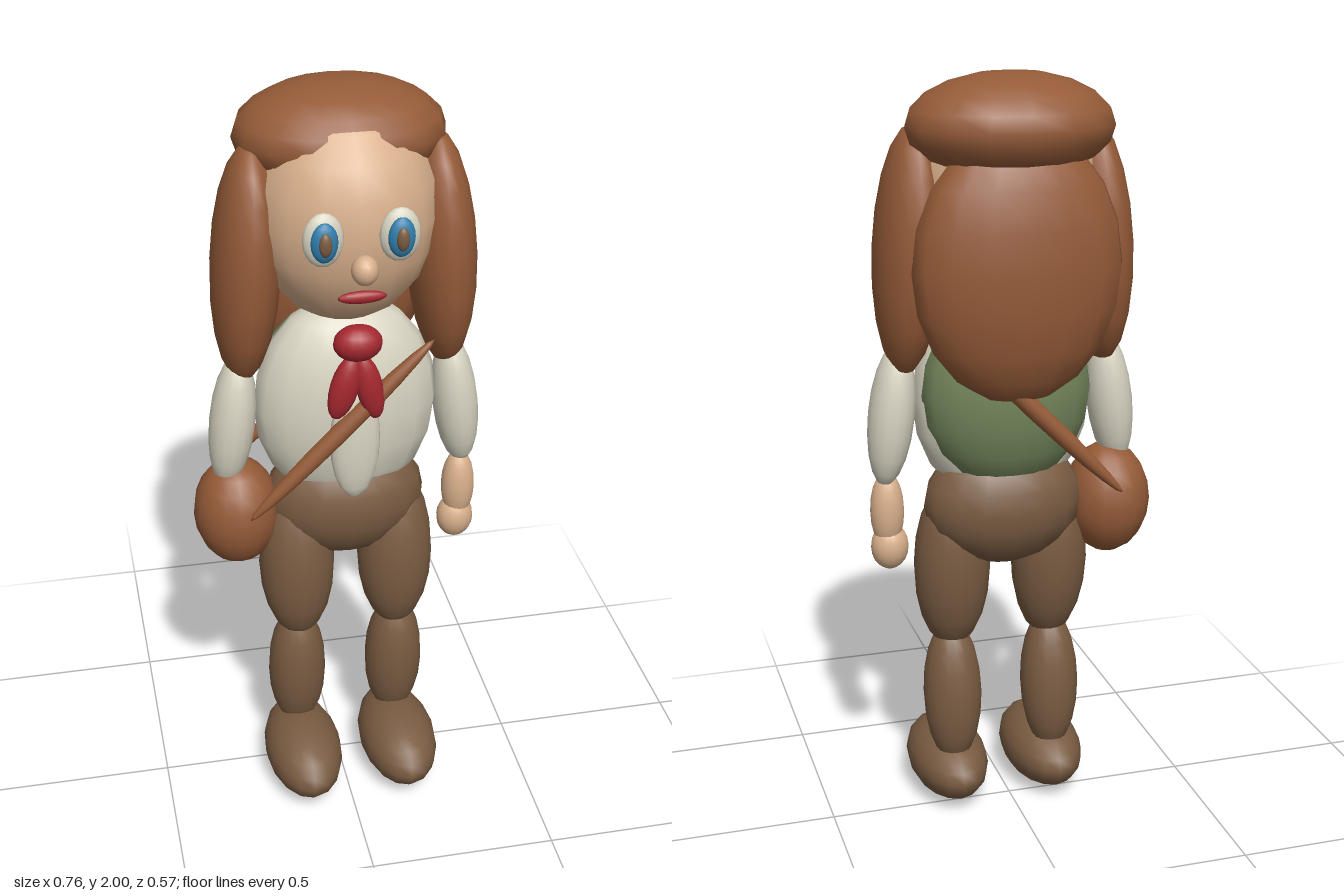
import * as THREE from 'three';

const mat = (name, color) => {
  const m = new THREE.MeshStandardMaterial({ color });
  m.name = name;
  return m;
};

export function createModel() {
  const hair = mat('chestnut', 0x955b38);
  const skin = mat('skin', 0xd9b08c);
  const linen = mat('linen', 0xd8d4c2);
  const cloth = mat('brown cloth', 0x7a5c42);
  const green = mat('moss green', 0x72855a);
  const red = mat('scarf red', 0xa5282f);
  const blue = mat('iris blue', 0x2f7fae);

  const CX = 0.02; // body midline
  const model = new THREE.Group();
  model.name = 'longHairedFigure';
  const ball = new THREE.SphereGeometry(1, 16, 10);

  // One smooth ellipsoid: centre, radii, optional rotation
  const blob = (name, material, pos, radii, rot = [0, 0, 0]) => {
    const mesh = new THREE.Mesh(ball, material);
    mesh.name = name;
    mesh.position.set(...pos);
    mesh.scale.set(...radii);
    mesh.rotation.set(...rot);
    model.add(mesh);
    return mesh;
  };

  // Mirrored pair about the midline; x is the distance from it
  const pair = (name, material, [x, y, z], radii, [rx, ry, rz] = [0, 0, 0]) => {
    for (const [side, s] of [['left', 1], ['right', -1]]) {
      blob(side + name, material, [CX + s * x, y, z], radii, [rx, s * ry, s * rz]);
    }
  };

  // Long thin ellipsoid between two points
  const spindle = (name, material, a, b, r) => {
    const p = new THREE.Vector3(...a), q = new THREE.Vector3(...b);
    const d = q.clone().sub(p);
    const mid = p.clone().add(q).multiplyScalar(0.5);
    const mesh = blob(name, material, mid.toArray(), [r, d.length() / 2, r]);
    mesh.quaternion.setFromUnitVectors(new THREE.Vector3(0, 1, 0), d.normalize());
  };

  // Legs and shoes
  blob('hips', cloth, [CX, 0.88, -0.01], [0.215, 0.17, 0.14]);
  pair('Thigh', cloth, [0.135, 0.7, 0.015], [0.103, 0.24, 0.1], [-0.06, 0, 0]);
  pair('Shin', cloth, [0.138, 0.33, 0.012], [0.08, 0.205, 0.08], [0.06, 0, 0]);
  pair('Shoe', cloth, [0.137, 0.097, 0.088], [0.107, 0.097, 0.197]);

  // Torso, vest back and shirt front
  blob('shirt', linen, [CX, 1.17, 0], [0.24, 0.3, 0.132]);
  blob('vest', green, [CX, 1.19, -0.045], [0.225, 0.26, 0.13]);
  blob('shirtFront', linen, [CX, 1.12, 0.13], [0.065, 0.17, 0.033]);

  // Arms
  pair('Sleeve', linen, [0.295, 1.135, -0.003], [0.06, 0.19, 0.068], [0, 0, 0.12]);
  pair('Forearm', skin, [0.31, 0.875, 0.005], [0.045, 0.105, 0.043]);
  pair('Hand', skin, [0.305, 0.775, 0.005], [0.05, 0.062, 0.045]);

  // Head and hair
  blob('head', skin, [CX, 1.69, -0.02], [0.235, 0.285, 0.22]);
  blob('hairCap', hair, [CX, 1.87, -0.08], [0.265, 0.13, 0.202]);
  blob('backHair', hair, [CX, 1.53, -0.15], [0.27, 0.345, 0.13]);
  pair('HairLock', hair, [0.247, 1.56, -0.02], [0.088, 0.315, 0.137], [0, 0, 0.06]);

  // Face
  pair('EyeWhite', linen, [0.092, 1.705, 0.19], [0.05, 0.068, 0.024]);
  pair('Iris', blue, [0.092, 1.705, 0.208], [0.033, 0.05, 0.018]);
  pair('Pupil', cloth, [0.092, 1.705, 0.222], [0.016, 0.03, 0.012]);
  blob('nose', skin, [CX, 1.637, 0.228], [0.033, 0.037, 0.034]);
  blob('mouth', red, [CX, 1.556, 0.202], [0.06, 0.016, 0.013]);

  // Neckerchief
  blob('scarfKnot', red, [CX, 1.41, 0.155], [0.062, 0.047, 0.045]);
  blob('scarfTailRight', red, [-0.015, 1.295, 0.165], [0.037, 0.09, 0.028], [0, 0, -0.27]);
  blob('scarfTailLeft', red, [0.048, 1.29, 0.165], [0.034, 0.092, 0.026], [0, 0, 0.22]);

  // Shoulder bag with front and back straps
  blob('bag', hair, [-0.27, 0.86, -0.01], [0.115, 0.152, 0.118]);
  spindle('frontStrap', hair, [-0.257, 0.925, 0.155], [0.213, 1.4, 0.155], 0.024);
  spindle('backStrap', hair, [-0.257, 0.925, -0.172], [0.213, 1.4, -0.172], 0.024);

  return model;
}
